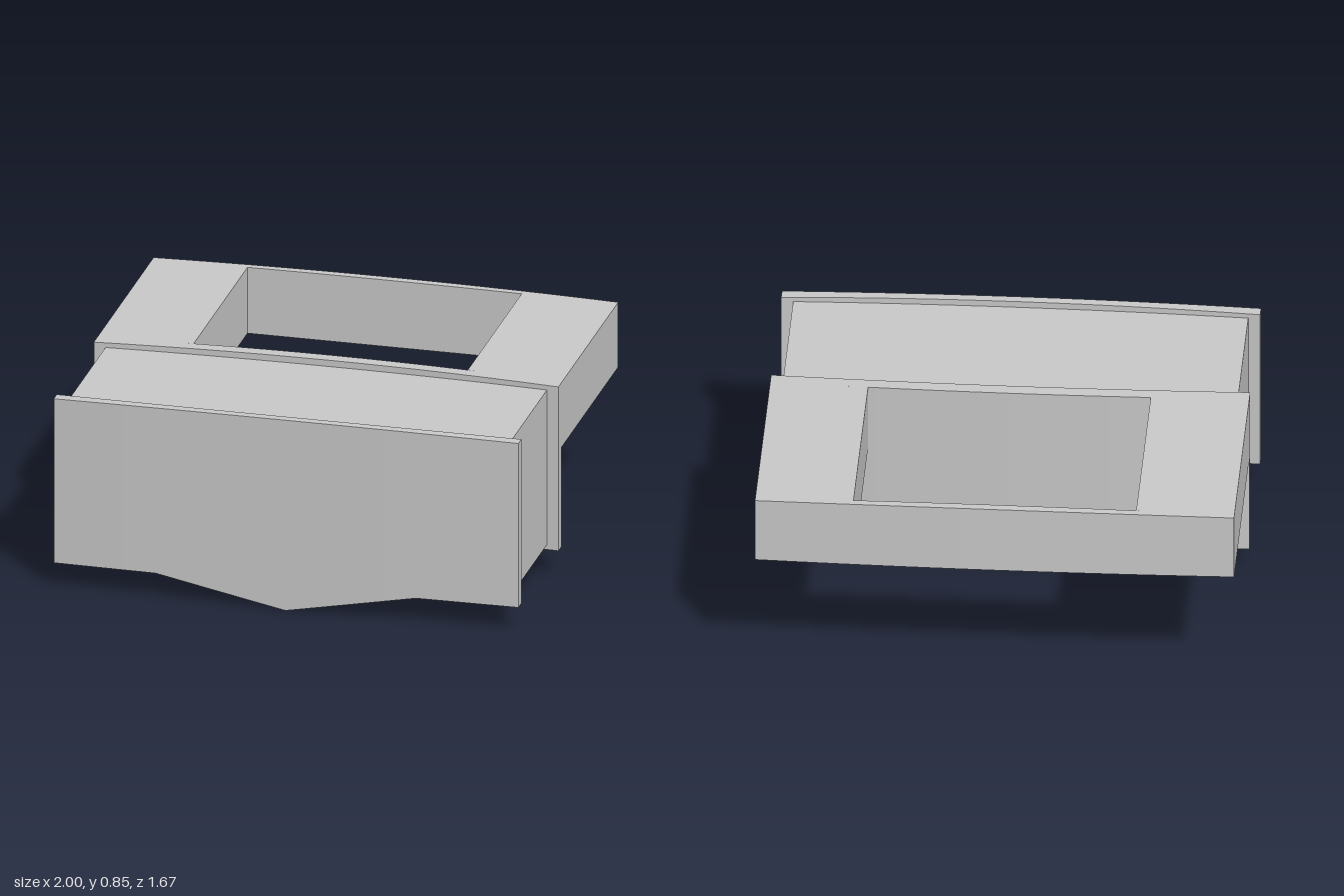
import * as THREE from 'three';

const material = new THREE.MeshStandardMaterial({ color: 0xcccccc, flatShading: true });

// Shared curves across the width
const bow = (x) => 1 - x * x;
const topY = (x) => 0.845 + 0.008 * bow(x);
const keel = (x) => Math.min(0.11, (0.11 * Math.abs(x)) / 0.56);
const soffit = (x) => 0.032 + keel(x) * 0.91;
const rearFace = (x) => 0.11 - 0.033 * bow(x);

// Stations along x, keeping the two bends and the centre
const STATIONS = [-1, -0.85, -0.7, -0.56, -0.42, -0.28, -0.14, 0, 0.14, 0.28, 0.42, 0.56, 0.7, 0.85, 1];
const stations = (a, b) => [a, ...STATIONS.filter((x) => x > a + 1e-4 && x < b - 1e-4), b];

const at = (v, x) => (typeof v === 'function' ? v(x) : v);

// Bar from x = a to b whose rectangular section may vary with x
function bar(name, a, b, y0, y1, z0, z1) {
  const pos = [];
  const rings = stations(a, b).map((x) => {
    const [l, h, r, f] = [y0, y1, z0, z1].map((v) => at(v, x));
    return [[x, l, r], [x, l, f], [x, h, f], [x, h, r]];
  });
  const quad = (p, q, r, s) => pos.push(...p, ...q, ...r, ...p, ...r, ...s);
  for (let i = 0; i < rings.length - 1; i++) {
    const p = rings[i], q = rings[i + 1];
    for (let k = 0; k < 4; k++) {
      const n = (k + 1) % 4;
      quad(p[k], q[k], q[n], p[n]);
    }
  }
  const s = rings[0], e = rings[rings.length - 1];
  quad(s[0], s[1], s[2], s[3]);
  quad(e[3], e[2], e[1], e[0]);
  const g = new THREE.BufferGeometry();
  g.setAttribute('position', new THREE.Float32BufferAttribute(pos, 3));
  g.computeVertexNormals();
  const mesh = new THREE.Mesh(g, material);
  mesh.name = name;
  return mesh;
}

// Raised rectangular moulding hanging under the soffit
function panelFrame(a, b, z0, z1) {
  const frame = new THREE.Group();
  frame.name = 'soffitPanelFrame';
  const w = 0.025;
  const low = (x) => soffit(x) - 0.014;
  const high = (x) => soffit(x) + 0.005;
  const shift = (z) => (x) => z - 0.02 + 0.02 * bow(x);
  frame.add(
    bar('frameRail', a, b, low, high, shift(z0), shift(z0 + w)),
    bar('frameRail', a, b, low, high, shift(z1 - w), shift(z1)),
    bar('frameStile', a, a + w, low, high, shift(z0 + w), shift(z1 - w)),
    bar('frameStile', b - w, b, low, high, shift(z0 + w), shift(z1 - w))
  );
  return frame;
}

// Hollow arm, open underneath and divided by cross walls
function sideArm(side) {
  const arm = new THREE.Group();
  arm.name = side > 0 ? 'leftArm' : 'rightArm';
  const part = (name, a, b, y0, y1, z0, z1) =>
    arm.add(side > 0 ? bar(name, a, b, y0, y1, z0, z1) : bar(name, -b, -a, y0, y1, z0, z1));
  const deck = (x) => topY(x) - 0.03;
  part('armTop', 0.59, 1, deck, topY, -0.8, rearFace);
  part('armOuterWall', 0.97, 1, 0.555, deck, -0.8, rearFace);
  part('armInnerWall', 0.59, 0.62, 0.555, deck, -0.8, rearFace);
  for (const z of [-0.49, -0.18]) part('armDivider', 0.62, 0.97, 0.555, deck, z - 0.015, z + 0.015);
  return arm;
}

export function createModel() {
  const model = new THREE.Group();
  model.name = 'counter';

  // Bowed front and rear plates with a shallow V along the bottom
  model.add(bar('frontPlate', -1, 1, keel, topY,
    (x) => 0.775 + 0.021 * bow(x), (x) => 0.825 + 0.01 * bow(x)));
  model.add(bar('middlePlate', -1, 1, keel, topY, rearFace, (x) => 0.165 - 0.03 * bow(x)));

  // Core between the plates
  model.add(bar('coreBlock', -0.95, 0.95, soffit, 0.825, 0.125, 0.805));

  // Mouldings under the core, three by three
  for (const [a, b] of [[-0.93, -0.56], [-0.45, 0.45], [0.56, 0.93]])
    for (const [z0, z1] of [[0.16, 0.305], [0.36, 0.54], [0.605, 0.75]])
      model.add(panelFrame(a, b, z0, z1));

  // Raised rear frame around the opening
  model.add(bar('rearBeam', -1, 1, 0.555, topY, (x) => -0.822 - 0.015 * bow(x), -0.8));
  model.add(sideArm(1), sideArm(-1));
  return model;
}
